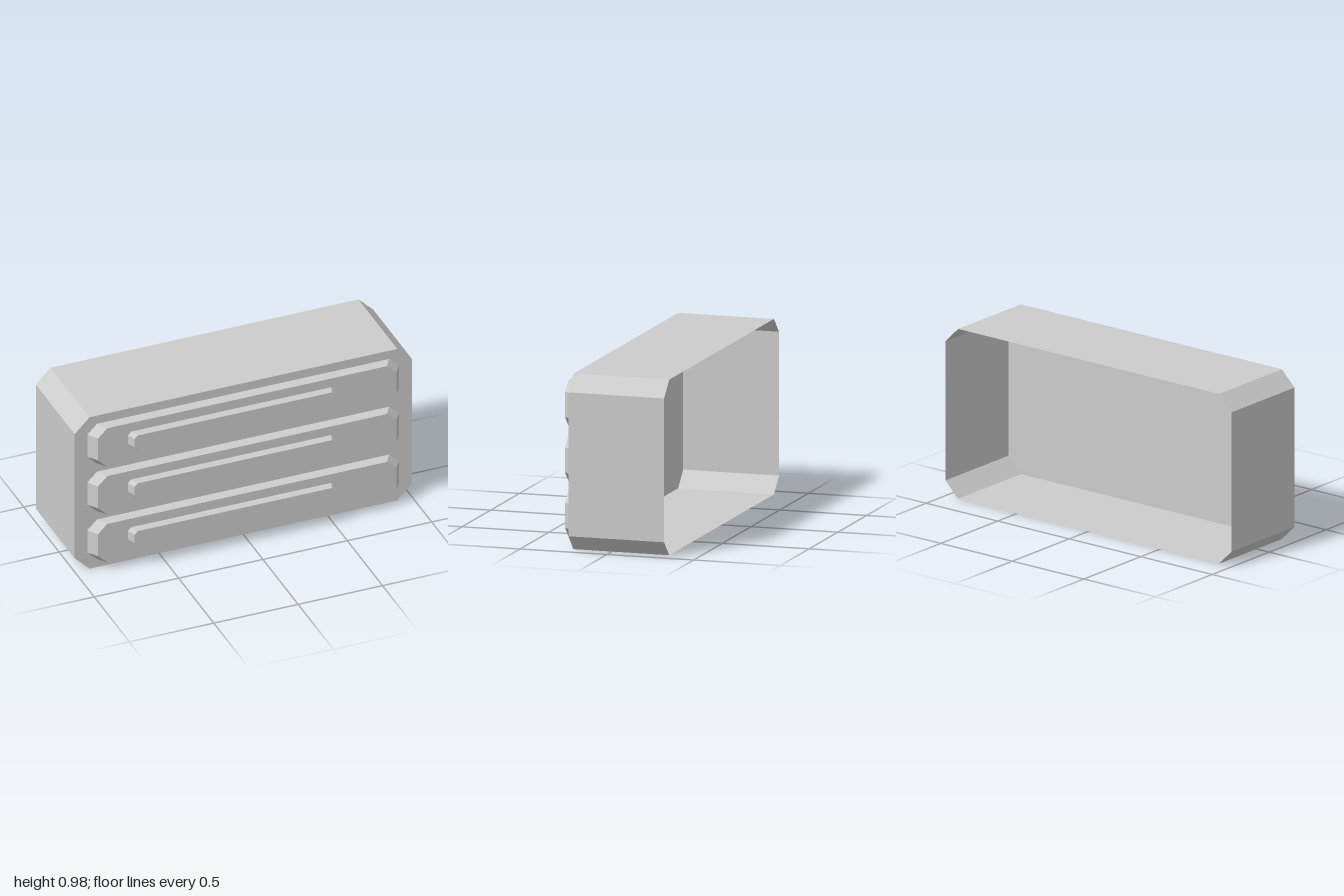
import * as THREE from 'three';

// Corner points of a rectangle with cut corners
function cutRect(w, h, cx, cy) {
  const x = w / 2, y = h / 2;
  return [
    [x, -y + cy], [x, y - cy], [x - cx, y], [-x + cx, y],
    [-x, y - cy], [-x, -y + cy], [-x + cx, -y], [x - cx, -y],
  ];
}

// Shell with an open back and a closed front, tapering by sx, sy towards the front
function openShell(outline, depth, sx = 1, sy = 1) {
  const pos = [];
  const back = outline.map(([x, y]) => [x, y, 0]);
  const front = outline.map(([x, y]) => [x * sx, y * sy, depth]);
  const n = outline.length;
  for (let i = 0; i < n; i++) {
    const j = (i + 1) % n;
    pos.push(...back[i], ...back[j], ...front[j]);
    pos.push(...back[i], ...front[j], ...front[i]);
    if (i > 0 && i < n - 1) pos.push(...front[0], ...front[i], ...front[i + 1]);
  }
  const geo = new THREE.BufferGeometry();
  geo.setAttribute('position', new THREE.Float32BufferAttribute(pos, 3));
  geo.computeVertexNormals();
  return geo;
}

export function createModel() {
  const model = new THREE.Group();
  model.name = 'drawerUnit';
  const grey = new THREE.MeshStandardMaterial({ color: 0xcccccc, side: THREE.DoubleSide });
  grey.name = 'light grey';

  function add(parent, name, geometry, x, y, z) {
    const mesh = new THREE.Mesh(geometry, grey);
    mesh.name = name;
    mesh.position.set(x, y, z);
    parent.add(mesh);
  }

  // Cabinet, open at the back
  add(model, 'cabinet', openShell(cutRect(2, 0.978, 0.088, 0.088), 0.552), 0, 0.489, -0.33);

  // Three drawer fronts, each with a long handle set towards the right
  const panel = openShell(cutRect(1.846, 0.257, 0.058, 0.056), 0.058, 0.958, 0.965);
  const handle = openShell(cutRect(1.224, 0.093, 0.02, 0.019), 0.05, 0.972, 0.985);
  for (let i = 0; i < 3; i++) {
    const drawer = new THREE.Group();
    drawer.name = 'drawer' + (i + 1);
    drawer.position.y = 0.179 + i * 0.309;
    add(drawer, 'drawerFront', panel, -0.002, 0, 0.222);
    add(drawer, 'handle', handle, -0.096, 0.022, 0.28);
    model.add(drawer);
  }
  return model;
}
